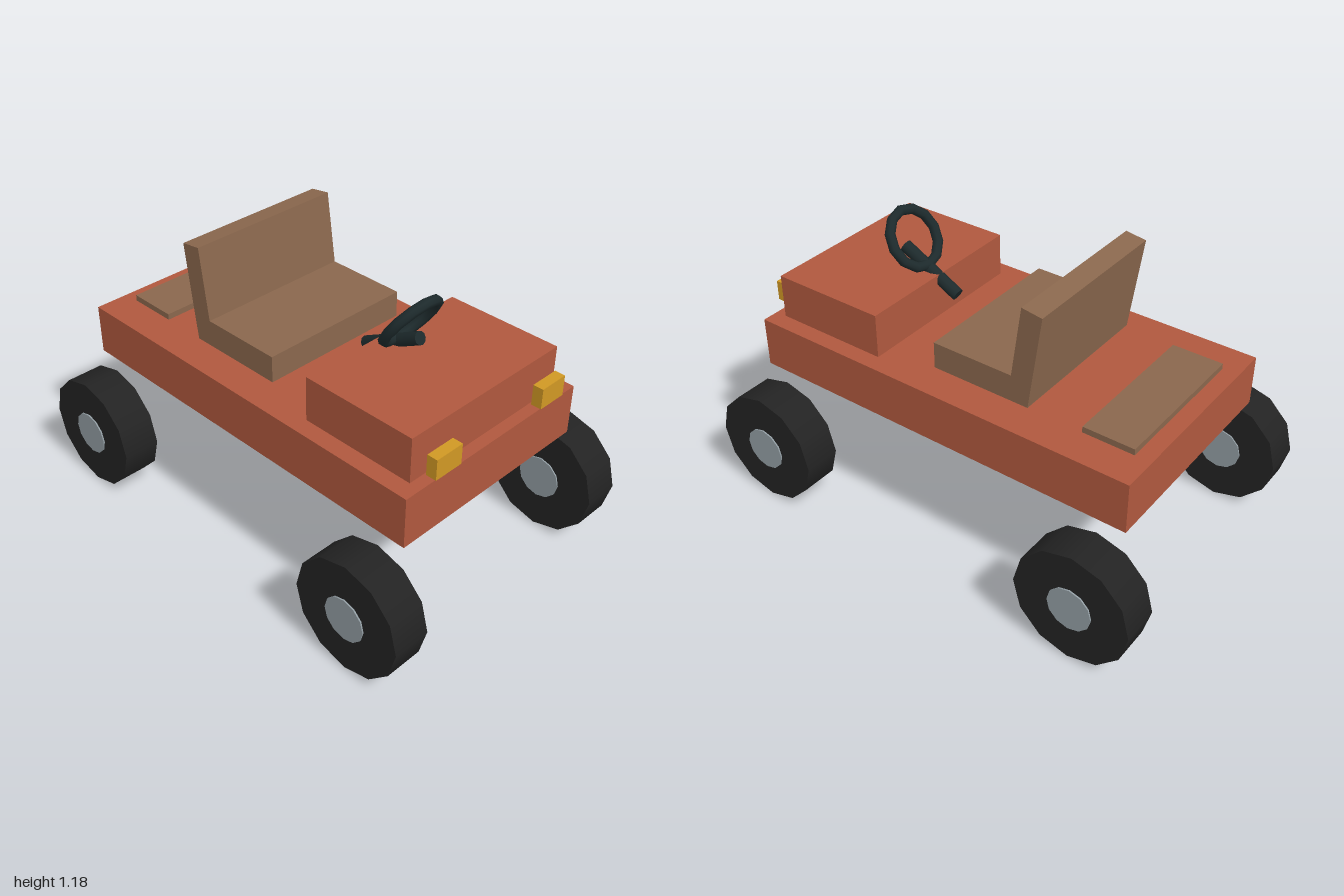
import * as THREE from 'three';

const material = (name, color) => {
  const m = new THREE.MeshStandardMaterial({ color });
  m.name = name;
  return m;
};

export function createModel() {
  const paint = material('rust paint', 0xb0583e);
  const leather = material('brown leather', 0x8a674d);
  const amber = material('amber lamp', 0xd09824);
  const rubber = material('black rubber', 0x232323);
  const steel = material('grey steel', 0x929da3);
  const trim = material('dark trim', 0x1d2a2c);

  const car = new THREE.Group();
  car.name = 'buggy';

  const add = (name, geometry, mat, x, y, z, tilt = 0) => {
    const mesh = new THREE.Mesh(geometry, mat);
    mesh.name = name;
    mesh.position.set(x, y, z);
    mesh.rotation.x = tilt;
    car.add(mesh);
    return mesh;
  };
  const box = (w, h, d) => new THREE.BoxGeometry(w, h, d);

  // Body
  add('chassis', box(0.934, 0.213, 1.724), paint, 0, 0.643, 0);
  add('hood', box(0.79, 0.187, 0.5), paint, 0, 0.843, 0.563);
  add('rearPanel', box(0.64, 0.04, 0.216), leather, 0, 0.755, -0.685);

  // Bench seat with a reclined back
  add('seatBase', box(0.682, 0.112, 0.43), leather, 0, 0.826, -0.14);
  add('seatBack', box(0.682, 0.405, 0.089), leather, 0, 0.977, -0.339, -0.14);

  // Steering
  add('steeringColumn', new THREE.CylinderGeometry(0.027, 0.027, 0.297, 10), trim, 0, 0.935, 0.362, 1.09);
  add('steeringWheel', new THREE.TorusGeometry(0.121, 0.0215, 8, 12), trim, 0, 1.054, 0.445, 0.59);

  // Wheels lie on the x axis
  const tyre = new THREE.CylinderGeometry(0.244, 0.244, 0.16, 12).rotateZ(Math.PI / 2);
  const hub = new THREE.CylinderGeometry(0.093, 0.093, 0.172, 12).rotateZ(Math.PI / 2);
  for (const side of [1, -1]) {
    const label = side > 0 ? 'left' : 'right';
    add(label + 'Headlight', box(0.13, 0.086, 0.044), amber, side * 0.287, 0.823, 0.867);
    for (const end of [1, -1]) {
      const place = label + (end > 0 ? 'Front' : 'Rear');
      add(place + 'Tyre', tyre, rubber, side * 0.561, 0.246, end * 0.756);
      add(place + 'Hub', hub, steel, side * 0.561, 0.246, end * 0.756);
    }
  }
  return car;
}
